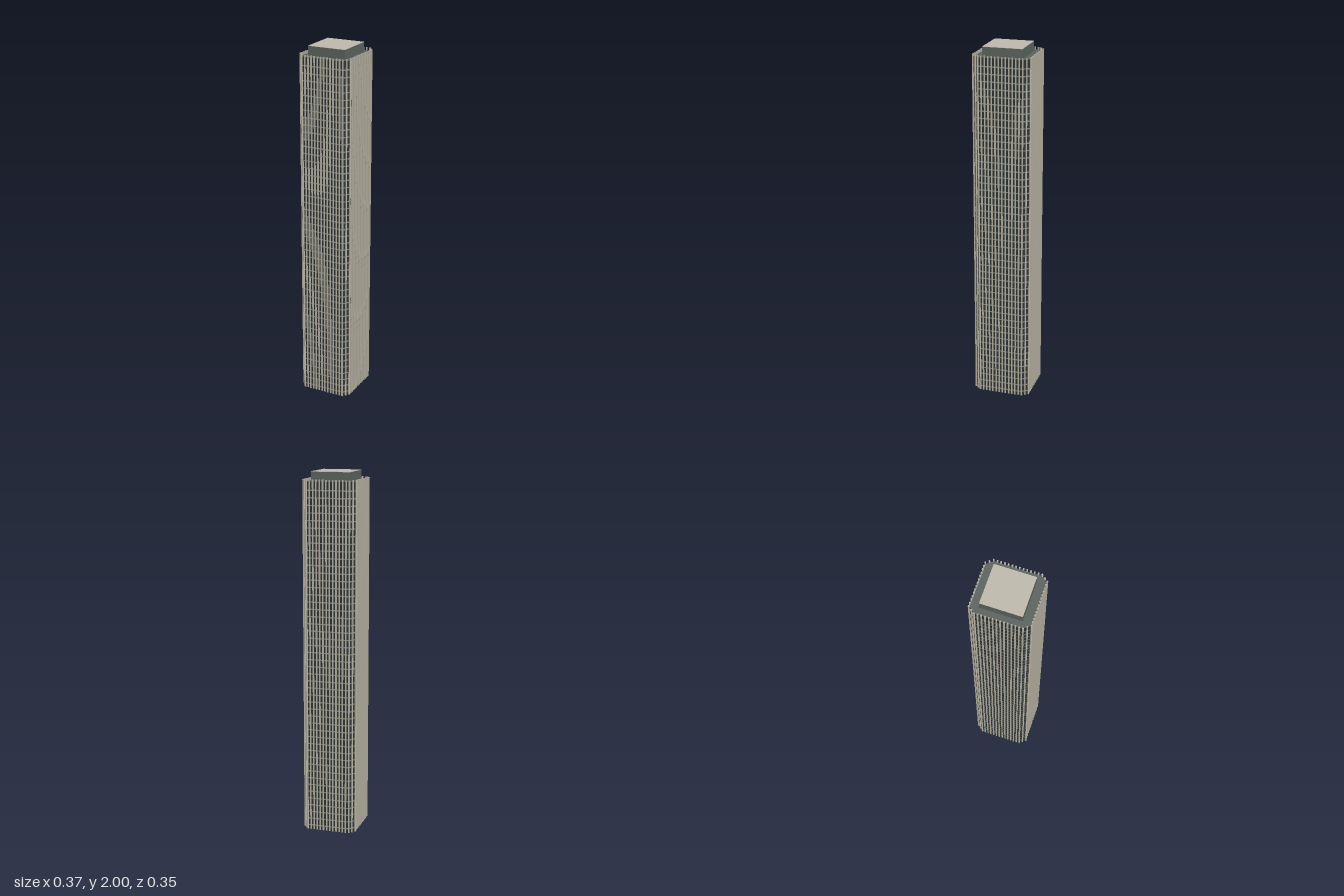
import * as THREE from 'three';

const material = (color) => new THREE.MeshStandardMaterial({ color });

// Chamfered rectangular floor plan as [x, z] corners, scaled about its centre
const plan = (s) => [
  [0.157, -0.12], [0.157, 0.12], [0.123, 0.147], [-0.123, 0.147],
  [-0.157, 0.12], [-0.157, -0.12], [-0.123, -0.147], [0.123, -0.147],
].map(([x, z]) => [x * s, z * s]);

// Open prism wall facing outwards
function wall(points, y0, y1) {
  const pos = [];
  points.forEach(([ax, az], i) => {
    const [bx, bz] = points[(i + 1) % points.length];
    pos.push(ax, y0, az, ax, y1, az, bx, y1, bz);
    pos.push(ax, y0, az, bx, y1, bz, bx, y0, bz);
  });
  const g = new THREE.BufferGeometry();
  g.setAttribute('position', new THREE.Float32BufferAttribute(pos, 3));
  g.computeVertexNormals();
  return g;
}

export function createModel() {
  const model = new THREE.Group();
  model.name = 'tower';
  model.rotation.y = 0.197;
  const add = (name, geometry, mat, parent = model) => {
    const mesh = new THREE.Mesh(geometry, mat);
    mesh.name = name;
    parent.add(mesh);
    return mesh;
  };

  const glass = material(0x2c3435);
  const stone = material(0xb5b0a0);
  const spandrel = material(0x85867c);
  const roofGrey = material(0x5b635e);

  const top = 1.96;
  const roofY = 1.945;

  // Glass curtain wall, open at the foot
  add('glassWall', wall(plan(0.985), 0, roofY + 0.005), glass);

  // Floor bands
  const bands = new THREE.Group();
  bands.name = 'floorBands';
  model.add(bands);
  const floors = 48;
  for (let i = 0; i < floors; i++) {
    const y = 0.02 + i * 0.04;
    add('floorBand', wall(plan(0.991), y, y + 0.007), spandrel, bands);
  }

  // Vertical fins: 13 bays on each long side, 2 on each chamfer
  const fins = new THREE.Group();
  fins.name = 'fins';
  model.add(fins);
  const finGeometry = new THREE.BoxGeometry(0.008, top, 0.007);
  const corners = plan(1);
  corners.forEach(([ax, az], i) => {
    const [bx, bz] = corners[(i + 1) % corners.length];
    const bays = i % 2 ? 2 : 13;
    for (let k = 0; k < bays; k++) {
      const t = k / bays;
      const fin = add('fin', finGeometry, stone, fins);
      fin.position.set(ax + (bx - ax) * t, top / 2, az + (bz - az) * t);
      fin.rotation.y = Math.atan2(bx - ax, bz - az);
    }
  });

  // Flat roof
  const roofShape = new THREE.Shape(plan(0.985).map(([x, z]) => new THREE.Vector2(x, -z)));
  const roof = add('roof', new THREE.ShapeGeometry(roofShape), roofGrey);
  roof.rotation.x = -Math.PI / 2;
  roof.position.y = roofY;

  // Rooftop plant room with a pale landing deck
  const plant = add('plantRoom', new THREE.BoxGeometry(0.218, 0.052, 0.216), roofGrey);
  plant.position.y = 1.972;
  const deck = add('landingDeck', new THREE.BoxGeometry(0.218, 0.002, 0.216), material(0xbdb9ab));
  deck.position.y = 1.999;

  const root = new THREE.Group();
  root.add(model);
  return root;
}
